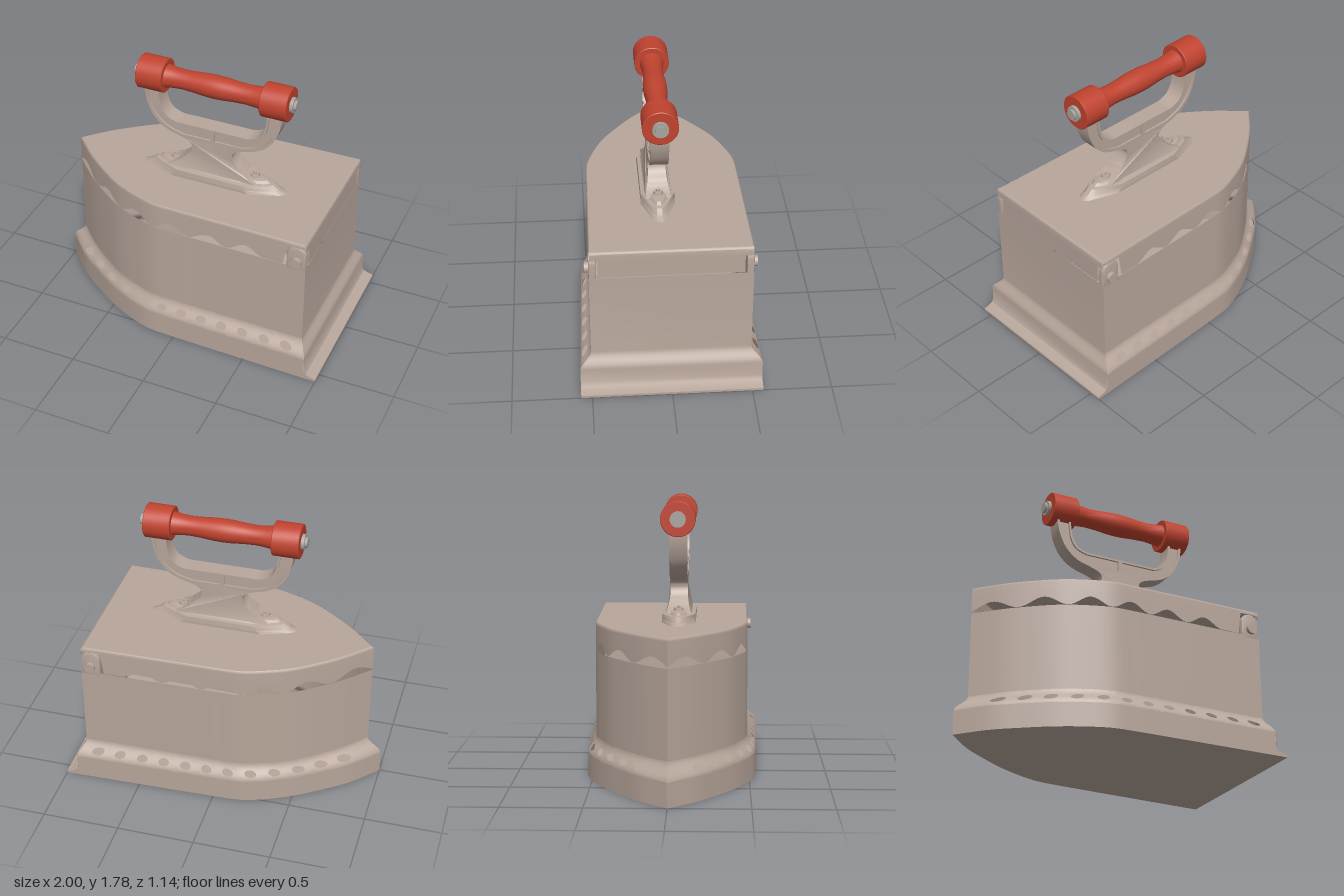
import * as THREE from 'three';
import { toCreasedNormals } from 'three/addons/utils/BufferGeometryUtils.js';

const V2 = (x, y) => new THREE.Vector2(x, y);
const V3 = (x, y, z) => new THREE.Vector3(x, y, z);
const lerp = THREE.MathUtils.lerp;

// Half outlines of the foot and of the wall, evenly spaced from tip to back
function outline(x0, x1, widths) {
  return new THREE.SplineCurve(widths.map((z, i) => V2(lerp(x0, x1, i / (widths.length - 1)), z)));
}
const FOOT = outline(-1, 0.92, [0, 0.17, 0.29, 0.395, 0.475, 0.53, 0.543, 0.548, 0.553, 0.557, 0.561, 0.565, 0.57]);
const WALL = outline(-0.91, 0.875, [0, 0.15, 0.27, 0.37, 0.435, 0.48, 0.488, 0.49, 0.492, 0.494, 0.496, 0.498, 0.5]);
const STEPS = 96, SLOPE0 = 0.155, SLOPE1 = 0.262, CX = 0.083, CZ = 0.047;
const smooth = s => s * s * (3 - 2 * s);

// Point on the side: t from tip to back, k from foot to wall
function sidePoint(t, k, y, side) {
  const p = FOOT.getPoint(t).lerp(WALL.getPoint(t), k);
  return V3(p.x, y, p.y * side);
}
const slopePoint = (t, s, side) => sidePoint(t, smooth(s), lerp(SLOPE0, SLOPE1, s), side);

// Surface through rows of points
function grid(rows) {
  const n = rows[0].length, index = [];
  for (let i = 0; i < rows.length - 1; i++) for (let j = 0; j < n - 1; j++) {
    const a = i * n + j;
    index.push(a, a + 1, a + n, a + 1, a + n + 1, a + n);
  }
  const g = new THREE.BufferGeometry().setFromPoints(rows.flat());
  g.setIndex(index);
  g.computeVertexNormals();
  return g;
}
const sideGrid = (rows, side) => grid(side > 0 ? rows : [...rows].reverse());
const along = f => Array.from({ length: STEPS + 1 }, (_, i) => f(i / STEPS));

// Extrusion standing centred on the handle's plane
function extrudeMid(shape, depth, bevel = 0) {
  const g = new THREE.ExtrudeGeometry(shape, {
    depth: depth - 2 * bevel, curveSegments: 8, bevelEnabled: bevel > 0,
    bevelSize: bevel, bevelOffset: -bevel, bevelThickness: bevel, bevelSegments: 2 });
  return g.translate(0, 0, bevel - depth / 2);
}

export function createModel() {
  const root = new THREE.Group();
  const iron = new THREE.MeshStandardMaterial({ color: 0xb8a69b, side: THREE.DoubleSide });
  const red = new THREE.MeshStandardMaterial({ color: 0xc0432f });
  const steel = new THREE.MeshStandardMaterial({ color: 0xa8a49e });
  iron.name = 'iron'; red.name = 'redGrip'; steel.name = 'steel';
  const add = (name, geo, mat = iron, parent = root) => {
    const m = new THREE.Mesh(geo, mat);
    m.name = name;
    parent.add(m);
    return m;
  };

  // Hollow body: foot band, pierced slope, upper wall
  const holes = [-0.78, -0.65, -0.52, -0.38, -0.235, -0.09, 0.05, 0.19, 0.335, 0.48, 0.63, 0.775]
    .map(x => (x + 0.955) / 1.8525);
  const N = 32;
  for (const side of [1, -1]) {
    add('footBand', sideGrid([0, SLOPE0].map(y => along(t => sidePoint(t, 0, y, side))), side));
    add('upperWall', sideGrid([SLOPE1, 0.82].map(y => along(t => sidePoint(t, 1, y, side))), side));
    holes.forEach((c, i) => {
      const t0 = i ? (holes[i - 1] + c) / 2 : 0;
      const t1 = i < holes.length - 1 ? (holes[i + 1] + c) / 2 : 1;
      const rows = [1, 0.75, 0.5, 0.25, 0].map(r => Array.from({ length: N + 1 }, (_, j) => {
        const a = (j / N) * Math.PI * 2, x = Math.cos(a), y = Math.sin(a);
        const m = Math.max(Math.abs(x), Math.abs(y));
        const tOuter = c + (x / m) * (x > 0 ? t1 - c : c - t0), sOuter = 0.5 + 0.5 * y / m;
        return slopePoint(lerp(c + 0.019 * x, tOuter, r), lerp(0.43 + 0.19 * y, sOuter, r), side);
      }));
      add('piercedSlope', sideGrid(rows, side));
    });
  }

  // Back wall running down into the rear flange
  const backProfile = [[1, 0, 0.57], [1, 0.015, 0.57], [0.965, 0.022, 0.57], [0.935, 0.035, 0.57], [0.922, 0.06, 0.57]];
  for (let i = 0; i <= 10; i++) {
    const k = smooth(i / 10);
    backProfile.push([lerp(0.92, 0.875, k), lerp(SLOPE0, SLOPE1, i / 10), lerp(0.57, 0.5, k)]);
  }
  backProfile.push([0.875, 0.82, 0.5]);
  add('backWall', toCreasedNormals(grid(backProfile.map(([x, y, w]) => [V3(x, y, w), V3(x, y, -w)])), 0.6));
  const flangeEnd = new THREE.Shape([V2(0.92, 0), ...backProfile.slice(0, 5).map(p => V2(p[0], p[1]))]);
  for (const side of [1, -1]) add('flangeEnd', new THREE.ShapeGeometry(flangeEnd)).position.z = 0.57 * side;

  // Sole plate
  const half = along(t => FOOT.getPoint(t));
  const sole = new THREE.Shape([...half, V2(1, 0.57), V2(1, -0.57),
    ...half.slice(1).reverse().map(p => V2(p.x, -p.y))]);
  add('solePlate', new THREE.ShapeGeometry(sole).rotateX(Math.PI / 2));

  // Lid with scalloped skirt, cut away around the hinge ears
  const lid = new THREE.Group();
  lid.name = 'lid';
  root.add(lid);
  const skirtEdge = x => x > 0.73 ? 0.97 : x > 0.604 ? 0.823
    : 0.851 + 0.029 * Math.cos((x - 0.217) / 0.258 * Math.PI * 2);
  const lidRing = (scale, y, side) => along(t => {
    const p = WALL.getPoint(t);
    return V3(p.x * scale, y ?? skirtEdge(p.x), p.y * scale * side);
  });
  for (const side of [1, -1]) {
    add('scallopedSkirt', sideGrid([lidRing(1, null, side), lidRing(1, 0.982, side),
      lidRing(0.995, 0.995, side), lidRing(0.982, 1, side)], side), iron, lid);
  }
  const rim = along(t => WALL.getPoint(t).multiplyScalar(0.982));
  const lidShape = new THREE.Shape([...rim, ...rim.slice(1).reverse().map(p => V2(p.x, -p.y))]);
  add('lidTop', new THREE.ShapeGeometry(lidShape).rotateX(-Math.PI / 2).translate(0, 1, 0), iron, lid);
  add('lidBackEdge', grid([[0.875, 0.945], [0.875, 0.982], [0.871, 0.995], [0.859, 1]]
    .map(([x, y]) => [V3(x, y, 0.495), V3(x, y, -0.495)])), iron, lid);
  add('lidBackSkirt', new THREE.BoxGeometry(0.012, 0.165, 0.89).translate(0.868, 0.906, 0), iron, lid);

  // Hinge ears and pins
  const ear = new THREE.Shape();
  ear.moveTo(0.75, 0.8);
  ear.lineTo(0.875, 0.8);
  ear.lineTo(0.875, 0.91);
  ear.absarc(0.8125, 0.91, 0.0625, 0, Math.PI, false);
  for (const side of [1, -1]) {
    add('hingeEar', toCreasedNormals(extrudeMid(ear, 0.045, 0.01), 0.6)).position.z = side * 0.479;
    add('hingePin', new THREE.CylinderGeometry(0.034, 0.034, 0.06, 20).rotateX(Math.PI / 2)).position.set(0.815, 0.865, side * 0.495);
  }

  // Handle: foot plate, raised pad and bolts
  const handle = new THREE.Group();
  handle.name = 'handle';
  handle.position.set(CX, 0, CZ);
  root.add(handle);
  const plateRing = (len, w, y) => [[1, 0.15], [0.93, 0.4], [0.55, 1], [-0.55, 1], [-0.93, 0.4], [-1, 0.15],
    [-1, -0.15], [-0.93, -0.4], [-0.55, -1], [0.55, -1], [0.93, -0.4], [1, -0.15], [1, 0.15]]
    .map(([x, z]) => V3(x * len, y, -z * w));
  add('footPlate', toCreasedNormals(grid([plateRing(0.485, 0.108, 1), plateRing(0.44, 0.108, 1.02),
    plateRing(0.405, 0.106, 1.05), plateRing(0.38, 0.085, 1.055), plateRing(0.36, 0.075, 1.072),
    plateRing(0.3, 0.05, 1.08), plateRing(0.001, 0.001, 1.08)]), 0.5), iron, handle);
  for (const s of [1, -1]) {
    add('boltHead', new THREE.CylinderGeometry(0.028, 0.034, 0.02, 6), iron, handle).position.set(s * 0.272, 1.086, 0);
    add('boltTip', new THREE.CylinderGeometry(0.012, 0.012, 0.02, 10), iron, handle).position.set(s * 0.272, 1.097, 0);
  }

  // Neck and yoke, with sunken panels framed on both faces
  const outer = new THREE.SplineCurve([[0.46, 1.62], [0.455, 1.54], [0.435, 1.46], [0.39, 1.375], [0.31, 1.31],
    [0.2, 1.275], [0.155, 1.255], [0.135, 1.22], [0.15, 1.175], [0.195, 1.13], [0.235, 1.095],
    [0.3, 1.06]].map(p => V2(...p))).getPoints(44);
  const inner = new THREE.SplineCurve([[0.362, 1.62], [0.36, 1.54], [0.345, 1.465], [0.31, 1.41], [0.25, 1.382],
    [0.2, 1.38]].map(p => V2(...p))).getPoints(24);
  const mirror = pts => pts.map(p => V2(-p.x, p.y)).reverse();
  const yokeShape = () => new THREE.Shape([...outer, ...mirror(outer), ...mirror(inner).reverse(), ...inner.slice().reverse()]);
  const panel = [...new THREE.SplineCurve([[0.443, 1.58], [0.435, 1.52], [0.415, 1.455], [0.37, 1.385], [0.3, 1.33],
    [0.2, 1.298]].map(p => V2(...p))).getPoints(18), V2(0.015, 1.298), V2(0.015, 1.366),
    ...new THREE.SplineCurve([[0.25, 1.366], [0.32, 1.396], [0.36, 1.46], [0.378, 1.58]].map(p => V2(...p))).getPoints(14)];
  const framed = yokeShape();
  framed.holes.push(new THREE.Path(panel), new THREE.Path(mirror(panel)));
  // The neck widens towards its foot
  const flare = g => {
    const p = g.attributes.position;
    for (let i = 0; i < p.count; i++) {
      const d = Math.max(0, (1.18 - p.getY(i)) / 0.12);
      p.setZ(i, p.getZ(i) * (1 + 0.45 * d * d));
    }
    return toCreasedNormals(g, 0.6);
  };
  add('yokeFrame', flare(extrudeMid(framed, 0.112)), iron, handle);
  add('yokeWeb', flare(extrudeMid(yokeShape(), 0.085)), iron, handle);

  // Turned grip with end collars
  const grip = new THREE.LatheGeometry([[0, -0.5], [0.106, -0.5], [0.11, -0.496], [0.11, -0.329], [0.106, -0.325],
    [0.075, -0.325], [0.068, -0.28], [0.063, -0.22], [0.066, -0.14], [0.073, -0.06], [0.075, 0], [0.073, 0.06],
    [0.066, 0.14], [0.063, 0.22], [0.068, 0.28], [0.075, 0.325], [0.106, 0.325], [0.11, 0.329], [0.11, 0.496],
    [0.106, 0.5], [0, 0.5]].map(p => V2(...p)), 40);
  add('grip', toCreasedNormals(grip.rotateZ(-Math.PI / 2), 0.6), red, handle).position.y = 1.67;
  for (const s of [1, -1]) {
    add('gripWasher', new THREE.CylinderGeometry(0.05, 0.05, 0.024, 20).rotateZ(Math.PI / 2), steel, handle).position.set(s * 0.509, 1.67, 0);
    add('gripRodEnd', new THREE.CylinderGeometry(0.034, 0.034, 0.04, 12).rotateZ(Math.PI / 2), steel, handle).position.set(s * 0.518, 1.67, 0);
  }
  return root;
}
